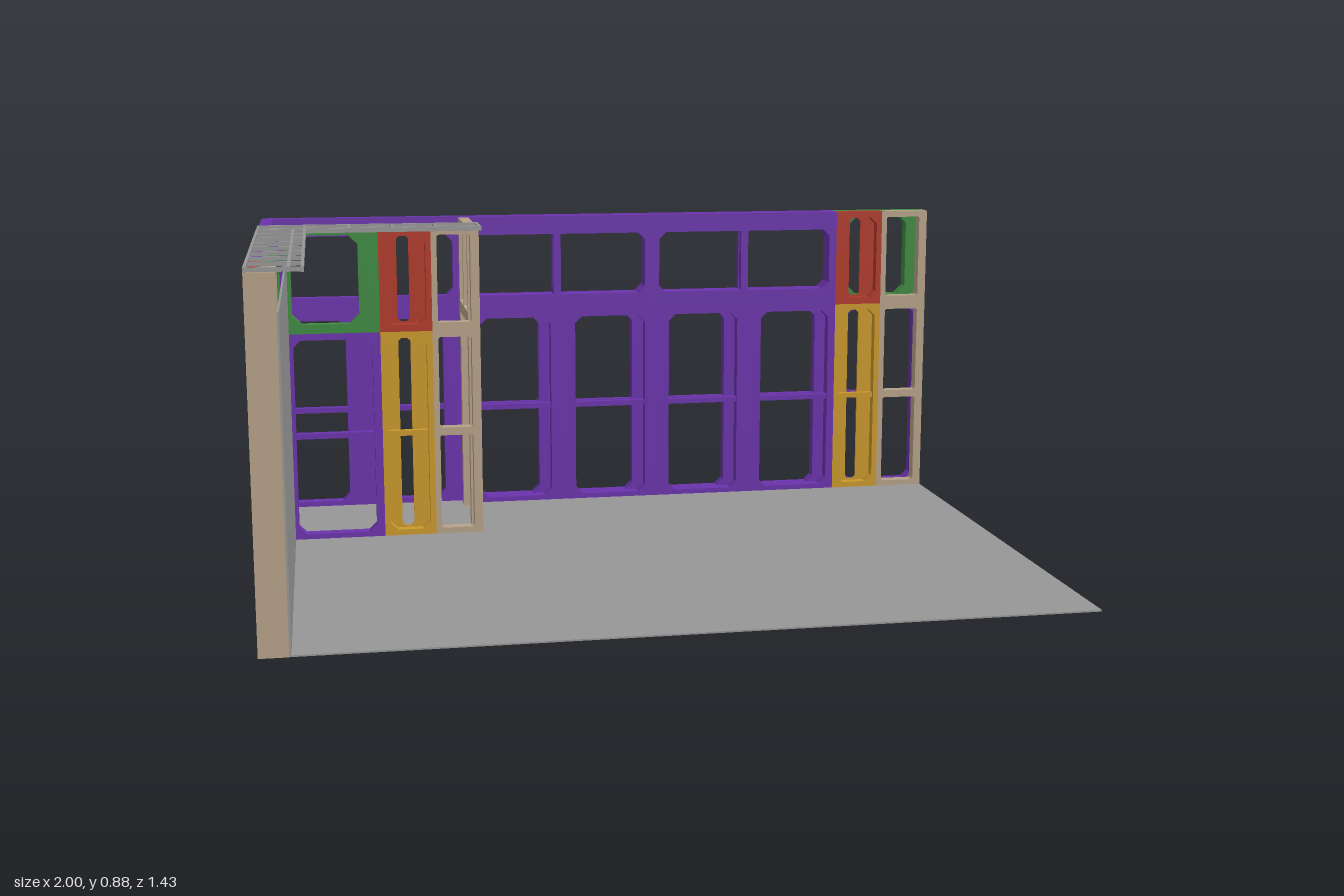
import * as THREE from 'three';

const mat = (name, color, side = THREE.FrontSide) => {
  const m = new THREE.MeshStandardMaterial({ color, side });
  m.name = name;
  return m;
};
const purple = mat('purple', 0x6a32ab), green = mat('green', 0x3d8a40), red = mat('red', 0xb03828);
const amber = mat('amber', 0xc9982a), tan = mat('tan', 0xb5a188), grey = mat('grey', 0x969696);

const W = 2 / 7;            // module width
const H = W / 2;            // half module
const D = 0.0345;           // layer thickness
const SPLIT = 0.58, TOP = 0.863;

// rectangle with chamfered corners, as a path [u0, u1, v0, v1, chamfer]
function opening([u0, u1, v0, v1, c = 0.015]) {
  const p = new THREE.Path();
  const pts = [[u0 + c, v0], [u0, v0 + c], [u0, v1 - c], [u0 + c, v1],
    [u1 - c, v1], [u1, v1 - c], [u1, v0 + c], [u1 - c, v0]];
  p.setFromPoints(pts.map(([x, y]) => new THREE.Vector2(x, y)));
  p.closePath();
  return p;
}

// flat frame with openings, extruded along local z
function frame(parent, name, material, u0, u1, v0, v1, holes, depth = D, z = 0) {
  const s = new THREE.Shape();
  s.moveTo(u0, v0); s.lineTo(u1, v0); s.lineTo(u1, v1); s.lineTo(u0, v1); s.closePath();
  s.holes = holes.map(opening);
  const mesh = new THREE.Mesh(new THREE.ExtrudeGeometry(s, { depth, bevelEnabled: false }), material);
  mesh.name = name;
  mesh.position.z = z;
  parent.add(mesh);
}

// lower module with two windows and a slim middle rail; a and b are the side margins
function lower(parent, u, a, b) {
  const l = u + a, r = u + W - b;
  frame(parent, 'lowerPanel', purple, u, u + W, 0, SPLIT, [[l, r, 0.018, 0.562, 0.02]]);
  frame(parent, 'middleRail', purple, l, r, 0.286, 0.301, [], D * 0.7, D * 0.15);
}

// double-width upper module with a slim divider
function upperPair(parent, u, v0 = 0.63, v1 = 0.81) {
  frame(parent, 'upperPanel', purple, u, u + 2 * W, SPLIT, TOP,
    [[u + 0.022, u + 2 * W - 0.022, v0, v1, 0.02]]);
  frame(parent, 'upperDivider', purple, u + W - 0.011, u + W + 0.011, v0, v1, [], D * 0.7, D * 0.15);
}

function upperGreen(parent, u) {
  frame(parent, 'greenPanel', green, u, u + W, SPLIT, TOP, [[u + 0.05, u + W - 0.055, 0.605, 0.848, 0.025]]);
}

// half module: red above amber, each with a recessed plate and a narrow slot
function slotPanels(parent, u, plateZ) {
  const faceZ = plateZ > 0 ? 0 : 0.006;
  for (const [name, m, v0, v1] of [['redPanel', red, SPLIT, TOP], ['amberPanel', amber, 0, SPLIT]]) {
    frame(parent, name, m, u, u + H, v0, v1,
      [[u + 0.016, u + H - 0.016, v0 + 0.02, v1 - 0.018, 0.02]], D - 0.006, faceZ);
    frame(parent, name + 'Back', m, u, u + H, v0, v1,
      [[u + 0.05, u + 0.083, v0 + 0.025, v1 - 0.022, 0.008]], 0.006, plateZ);
  }
  frame(parent, 'amberRail', amber, u + 0.016, u + H - 0.016, 0.286, 0.301, [], 0.018, 0.008);
}

// full-height end ladder with three windows
function ladder(parent, u0, u1) {
  const l = u0 + 0.016, r = u1 - 0.024;
  frame(parent, 'endFrame', tan, u0, u1, 0, TOP,
    [[l, r, 0.02, 0.285, 0.004], [l, r, 0.307, 0.562, 0.004], [l, r, 0.603, 0.845, 0.004]]);
}

function box(parent, name, material, x0, x1, y0, y1, z0, z1) {
  const m = new THREE.Mesh(new THREE.BoxGeometry(x1 - x0, y1 - y0, z1 - z0), material);
  m.name = name;
  m.position.set((x0 + x1) / 2, (y0 + y1) / 2, (z0 + z1) / 2);
  parent.add(m);
}

export function createModel() {
  const model = new THREE.Group();
  model.name = 'exhibitionBooth';
  const layer = (name, x, z, turned = false) => {
    const g = new THREE.Group();
    g.name = name;
    g.position.set(x, 0, z);
    if (turned) g.rotation.y = -Math.PI / 2;   // local x runs along +z, depth along -x
    model.add(g);
    return g;
  };

  // floor
  box(model, 'floor', grey, -1, 1, 0, 0.004, -0.713, 0.713);

  // back wall, outer layer
  const backOuter = layer('backWallOuter', 0, -0.714);
  for (let i = 0; i < 7; i++) {
    if (i < 6) lower(backOuter, -1 + i * W, 0.022, 0.055);
    else lower(backOuter, -1 + i * W, 0.05, 0.022);
  }
  for (let i = 0; i < 3; i++) upperPair(backOuter, -1 + 2 * i * W);
  upperGreen(backOuter, 1 - W);

  // back wall, inner layer
  const backInner = layer('backWallInner', 0, -0.714 + D);
  for (let i = 2; i < 6; i++) lower(backInner, -1 + i * W, 0.052, 0.022);
  for (let i = 1; i < 3; i++) upperPair(backInner, -1 + 2 * i * W);
  slotPanels(backInner, 1 - W, 0);
  ladder(backInner, 1 - H, 1);

  // side wall, outer layer
  const zs = -0.714 + D;
  const sideOuter = layer('sideWallOuter', -1 + D, 0, true);
  for (let i = 0; i < 4; i++) lower(sideOuter, zs + i * W, 0.022, 0.055);
  for (let i = 0; i < 2; i++) upperPair(sideOuter, zs + 2 * i * W);
  slotPanels(sideOuter, zs + 4 * W, 0);
  ladder(sideOuter, zs + 4 * W + H, 0.714);

  // side wall, inner layer
  const zi = 0.714 - H - 3 * W;
  const sideInner = layer('sideWallInner', -1 + 2 * D, 0, true);
  for (let i = 0; i < 3; i++) lower(sideInner, zi + i * W, 0.022, 0.052);
  upperPair(sideInner, zi, 0.605, 0.848);
  upperGreen(sideInner, zi + 2 * W);
  ladder(sideInner, 0.714 - H, 0.714);

  // plain cladding on the inside of the side wall
  box(model, 'claddingPanel', grey, -1 + 2 * D, -1 + 2 * D + 0.005, 0.004, 0.777, -0.298, 0.713);

  // storage room partition
  const xp = -1 + D;
  const partition = layer('partition', 0, -0.333);
  lower(partition, xp, 0.05, 0.022);
  upperGreen(partition, xp);
  slotPanels(partition, xp + W, 0);
  ladder(partition, xp + W + H, -0.405);

  // doorway with a glazed header
  box(model, 'doorPost', tan, -0.435, -0.405, 0, 0.59, -0.37, -0.333);
  box(model, 'doorPost', tan, -0.435, -0.405, 0, 0.59, -0.646, -0.608);
  const door = layer('doorHeader', -0.405, 0, true);
  frame(door, 'doorHeaderFrame', tan, -0.646, -0.333, 0.59, TOP,
    [[-0.625, -0.5, 0.622, 0.842, 0.002], [-0.482, -0.352, 0.622, 0.842, 0.002]], 0.03);

  // light rail grids on top of the walls
  const sideGrid = layer('sideRailGrid', 0, 0), frontGrid = layer('frontRailGrid', 0, 0);
  const y0 = TOP, y1 = 0.875, t = 0.0035;
  for (const x of [-0.9965, -0.903, -0.8735]) box(sideGrid, 'rail', grey, x - t, x + t, y0, y1, -0.205, 0.713);
  for (let i = 0; i < 9; i++) {
    const z = -0.205 + i * 0.1143;
    box(sideGrid, 'crossBar', grey, -1, -0.87, y0 + 0.001, y1 - 0.001, z - t, z + t);
  }
  for (const z of [-0.3295, -0.235, -0.2085]) box(frontGrid, 'rail', grey, -1, -0.405, y0, y1, z - t, z + t);
  for (const x of [-0.9965, -0.873, -0.757, -0.641, -0.525, -0.4085]) {
    box(frontGrid, 'crossBar', grey, x - t, x + t, y0 + 0.001, y1 - 0.001, -0.333, -0.205);
  }
  return model;
}
